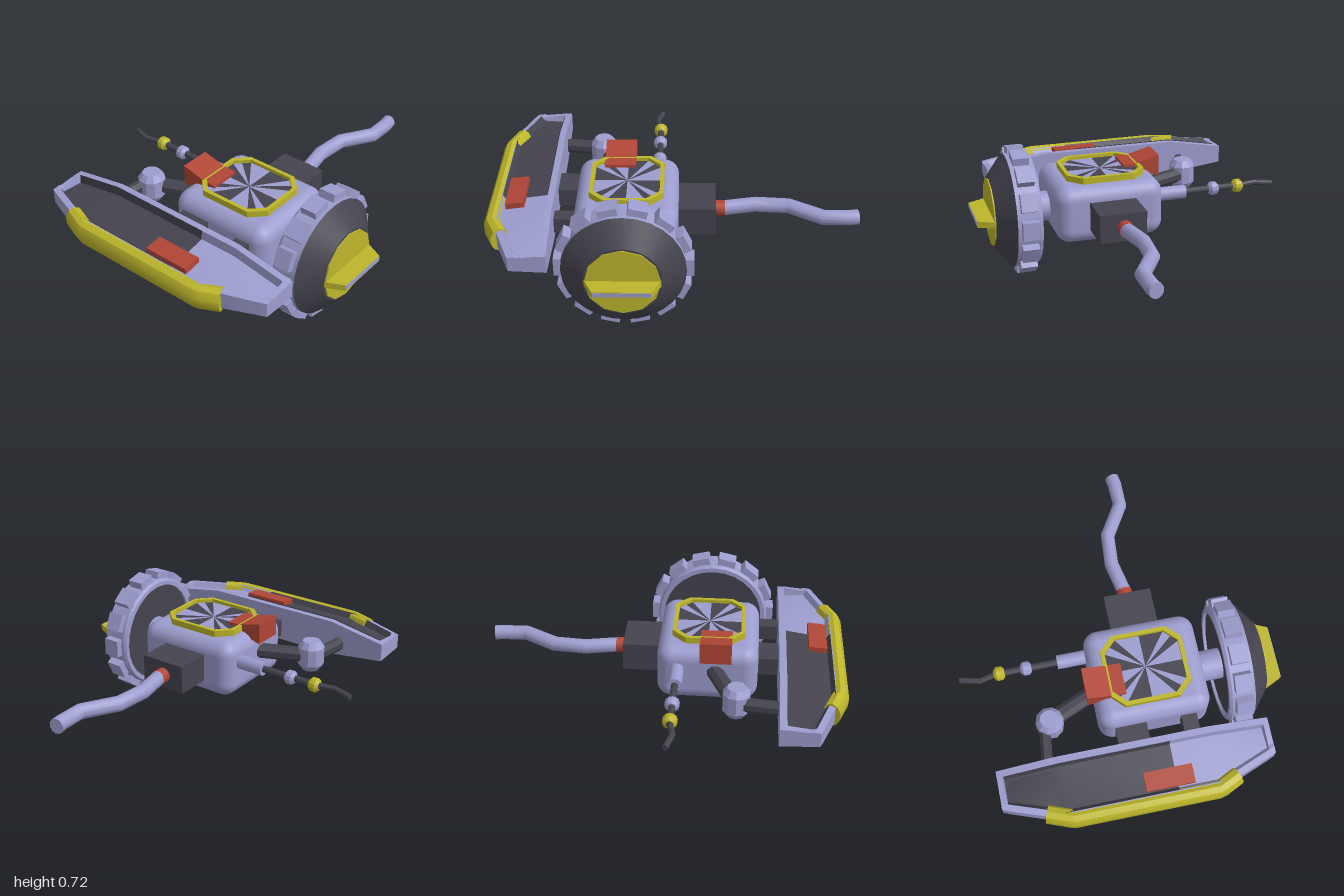
import * as THREE from 'three';
import { toCreasedNormals } from 'three/addons/utils/BufferGeometryUtils.js';
import { RoundedBoxGeometry } from 'three/addons/geometries/RoundedBoxGeometry.js';

const mat = (color) => new THREE.MeshStandardMaterial({ color, side: THREE.DoubleSide });
const LILAC = mat(0x9d9dcf), DARK = mat(0x45444f), YELLOW = mat(0xbdb62b), RED = mat(0xb04636);
const V = (x, y, z) => new THREE.Vector3(x, y, z);

// Skin a list of closed rings of Vector3, with fan caps; faces are turned outward
function loft(rings, caps = true, crease = 0.65) {
  const n = rings[0].length, pos = rings.flat().flatMap((p) => p.toArray()), tris = [];
  for (let i = 0; i < rings.length - 1; i++)
    for (let j = 0; j < n; j++) {
      const k = (j + 1) % n, a = i * n + j, b = i * n + k;
      tris.push([a, b, b + n], [a, b + n, a + n]);
    }
  if (caps) [0, rings.length - 1].forEach((r) => {
    const c = rings[r].reduce((s, p) => s.add(p), V(0, 0, 0)).divideScalar(n);
    const id = pos.length / 3;
    pos.push(c.x, c.y, c.z);
    for (let j = 0; j < n; j++) {
      const a = r * n + j, b = r * n + (j + 1) % n;
      tris.push(r ? [a, b, id] : [b, a, id]);
    }
  });
  const at = (i) => V(pos[3 * i], pos[3 * i + 1], pos[3 * i + 2]);
  const volume = tris.reduce((s, [a, b, c]) => s + at(a).dot(at(b).cross(at(c))), 0);
  if (volume < 0) tris.forEach((t) => t.reverse());
  const g = new THREE.BufferGeometry();
  g.setAttribute('position', new THREE.Float32BufferAttribute(pos, 3));
  g.setIndex(tris.flat());
  return toCreasedNormals(g, crease);
}

// Pipe along a bent path in the horizontal plane: rx sideways, ry upward
function pipe(points, rx, ry = rx, sides = 10) {
  return loft(points.map((p, i) => {
    const t = points[Math.min(i + 1, points.length - 1)].clone().sub(points[Math.max(i - 1, 0)]).normalize();
    const side = V(0, 1, 0).cross(t).normalize();
    return Array.from({ length: sides }, (_, j) => {
      const a = ((j + 0.5) / sides) * Math.PI * 2;
      return p.clone().addScaledVector(side, Math.cos(a) * rx).add(V(0, Math.sin(a) * ry, 0));
    });
  }));
}

export function createModel() {
  const model = new THREE.Group();
  const add = (name, geometry, material, x = 0, y = 0, z = 0, parent = model) => {
    const m = new THREE.Mesh(geometry, material);
    m.name = name;
    m.position.set(x, y, z);
    parent.add(m);
    return m;
  };
  const box = (w, h, d) => new THREE.BoxGeometry(w, h, d);

  // Octagon with cut corners, lying flat and facing up
  const octagon = (hx, hz, cut) => [[hx, hz - cut], [hx - cut, hz], [cut - hx, hz], [-hx, hz - cut],
    [-hx, cut - hz], [cut - hx, -hz], [hx - cut, -hz], [hx, cut - hz]].map(([x, z]) => new THREE.Vector2(x, z));
  const slab = (shape, h) => new THREE.ExtrudeGeometry(shape, { depth: h, bevelEnabled: false }).rotateX(-Math.PI / 2);

  // Body
  add('body', new RoundedBoxGeometry(0.55, 0.325, 0.61, 5, 0.08), LILAC, -0.255, 0.3775, 0.135);
  add('bellyPlate', slab(new THREE.Shape(octagon(0.21, 0.24, 0.08)), 0.02), DARK, -0.255, 0.212, 0.135);

  // Top vent: octagonal frame around a fan of alternating wedges
  const frame = new THREE.Shape(octagon(0.197, 0.222, 0.075));
  frame.holes.push(new THREE.Path(octagon(0.175, 0.2, 0.068)));
  add('ventFrame', slab(frame, 0.05), YELLOW, -0.255, 0.525, 0.13);
  const rim = octagon(0.18, 0.205, 0.07);
  const fan = new THREE.Group();
  fan.name = 'ventFan';
  fan.position.set(-0.255, 0.55, 0.13);
  model.add(fan);
  rim.forEach((p, i) => {
    const q = rim[(i + 1) % 8], mid = p.clone().lerp(q, 0.5);
    [[p, mid, DARK], [mid, q, LILAC]].forEach(([a, b, m]) =>
      add('fanBlade', slab(new THREE.Shape([new THREE.Vector2(), a, b]), 0.006), m, 0, 0, 0, fan));
  });

  // Red wedge at the back edge of the top
  const wedge = new THREE.Shape([[0, 0.55], [0.21, 0.49], [0.21, 0.61], [0.08, 0.575], [0, 0.572]]
    .map(([x, y]) => new THREE.Vector2(x, y)));
  add('rearLatch', new THREE.ExtrudeGeometry(wedge, { depth: 0.17, bevelEnabled: false }).rotateY(Math.PI / 2),
    RED, -0.385, 0, 0);

  // Front wheel
  const wheel = new THREE.Group();
  wheel.name = 'wheel';
  wheel.position.set(-0.255, 0.363, 0);
  model.add(wheel);
  const lathe = (pts, sides) => toCreasedNormals(new THREE.LatheGeometry(
    pts.map(([r, z]) => new THREE.Vector2(r, z)), sides).rotateX(Math.PI / 2), 0.5);
  add('axle', lathe([[0, 0.4], [0.085, 0.4], [0.085, 0.56], [0, 0.56]], 16), LILAC, 0, 0, 0, wheel);
  add('wheelBack', lathe([[0, 0.56], [0.285, 0.545]], 28), DARK, 0, 0, 0, wheel);
  add('wheelRim', lathe([[0.285, 0.56], [0.285, 0.53], [0.31, 0.53], [0.32, 0.545], [0.32, 0.67]], 28), LILAC, 0, 0, 0, wheel);
  add('wheelCone', lathe([[0.32, 0.67], [0.2, 0.765], [0, 0.765]], 28), DARK, 0, 0, 0, wheel);
  add('hubCap', lathe([[0.193, 0.755], [0.193, 0.772], [0, 0.772]], 12), YELLOW, 0, 0, 0, wheel);
  const fin = (z0, z1, w0, w1, h) => loft([[z0, w0], [z1, w1]].map(([z, w]) =>
    [V(-w, -h, z), V(w, -h, z), V(w, h, z), V(-w, h, z)]));
  add('hubFin', fin(0.765, 0.862, 0.193, 0.147, 0.018), YELLOW, 0, -0.008, 0, wheel);
  add('hubFinEdge', fin(0.86, 0.865, 0.147, 0.145, 0.012), LILAC, 0, -0.006, 0, wheel);
  for (let i = 0; i < 14; i++) {
    const a = (i / 14) * Math.PI * 2;
    add('tread', box(0.05, 0.1, 0.092), LILAC, Math.cos(a) * 0.332, Math.sin(a) * 0.332, 0.604, wheel)
      .rotation.z = a;
  }

  // Left arm: socket, red collar and bent feeler
  add('armSocket', box(0.21, 0.16, 0.262), DARK, 0.115, 0.378, 0.13);
  add('armCollar', new THREE.CylinderGeometry(0.043, 0.043, 0.06, 14).rotateZ(Math.PI / 2), RED, 0.24, 0.378, 0.125);
  add('armFeeler', pipe([V(0.262, 0.378, 0.125), V(0.44, 0.378, 0.088), V(0.62, 0.378, 0.102),
    V(0.8, 0.376, 0.21), V(0.94, 0.375, 0.208), V(0.985, 0.375, 0.2)], 0.04, 0.043, 12), LILAC);

  // Rear antenna
  const rod = (r, len, sides = 10) => new THREE.CylinderGeometry(r, r, len, sides).rotateX(Math.PI / 2);
  add('antennaBase', rod(0.039, 0.17, 14), LILAC, -0.092, 0.42, -0.24);
  add('antennaRod', rod(0.019, 0.4), DARK, -0.092, 0.42, -0.48);
  const bead = [[0, -0.03], [0.024, -0.03], [0.039, -0.015], [0.039, 0.015], [0.024, 0.03], [0, 0.03]];
  add('antennaBead', lathe(bead, 12), LILAC, -0.092, 0.42, -0.497);
  add('antennaRing', lathe(bead, 12), YELLOW, -0.092, 0.42, -0.645);
  add('antennaTip', pipe([V(-0.092, 0.42, -0.66), V(-0.113, 0.42, -0.755), V(-0.102, 0.418, -0.8),
    V(-0.085, 0.416, -0.862)], 0.016, 0.016, 8), DARK);

  // Side pod: hull sections along z as [z, outer x, bottom, top, outer bottom, outer top, tray depth]
  const sections = [[-0.75, -0.84, 0.375, 0.475, 0.385, 0.465, 0], [-0.72, -0.853, 0.371, 0.481, 0.385, 0.466, 0],
    [-0.715, -0.855, 0.37, 0.482, 0.385, 0.466, 0.05], [-0.42, -0.96, 0.335, 0.535, 0.375, 0.475, 0.05],
    [0.38, -0.96, 0.335, 0.535, 0.375, 0.475, 0.05], [0.675, -0.845, 0.37, 0.482, 0.385, 0.466, 0.05],
    [0.68, -0.843, 0.371, 0.481, 0.385, 0.466, 0], [0.71, -0.83, 0.375, 0.475, 0.385, 0.465, 0]];
  const IN = -0.637, LIP = 0.035;
  const trayPoints = ([z, ox, , yt, , oyt, d]) => [V(IN - LIP, yt, z), V(IN - LIP - 0.005, yt - d, z),
    V(ox + LIP + 0.02, oyt - d * 0.5, z), V(ox + LIP, oyt + 0.005, z)];
  add('podHull', loft(sections.map((s) => [V(IN, s[2], s[0]), V(IN, s[3], s[0]), ...trayPoints(s),
    V(s[1], s[5], s[0]), V(s[1], s[4], s[0])]), true, 0.4), LILAC);
  // Dark lining in the rear part of the tray
  const mid = sections[4].slice();
  mid[0] = 0.17;
  add('podLining', loft([sections[2], sections[3], mid].map((s) => {
    const p = trayPoints(s).map((v) => v.add(V(0, 0.004, 0)));
    p[0].x -= 0.003;
    p[1].x -= 0.003;
    return [p[0], p[1], p[2], p[3], p[2].clone().setY(p[2].y - 0.003), p[1].clone().setY(p[1].y - 0.003)];
  }), false, 0.4), DARK);
  add('podMarker', box(0.1, 0.045, 0.26), RED, -0.85, 0.468, 0.13).rotation.z = 0.1;
  add('podBumper', pipe([V(-0.9, 0.42, -0.525), V(-0.945, 0.42, -0.405), V(-0.95, 0.42, -0.39), V(-0.95, 0.42, 0.38),
    V(-0.945, 0.42, 0.395), V(-0.9, 0.42, 0.49)], 0.05, 0.068, 10), YELLOW);

  // Struts and jointed link between pod and body
  add('podStrut', box(0.16, 0.1, 0.17), DARK, -0.575, 0.41, -0.005);
  add('podStrut', box(0.16, 0.085, 0.085), DARK, -0.575, 0.41, 0.31);
  add('linkOuter', pipe([V(-0.65, 0.41, -0.48), V(-0.43, 0.41, -0.455)], 0.032, 0.042, 8), DARK);
  add('linkInner', pipe([V(-0.41, 0.41, -0.43), V(-0.28, 0.41, -0.12)], 0.045, 0.042, 8), DARK);
  add('linkElbow', lathe([[0, -0.085], [0.05, -0.085], [0.075, -0.05], [0.075, 0.05], [0.05, 0.085], [0, 0.085]], 10)
    .rotateX(-Math.PI / 2), LILAC, -0.42, 0.412, -0.425);

  return model;
}
